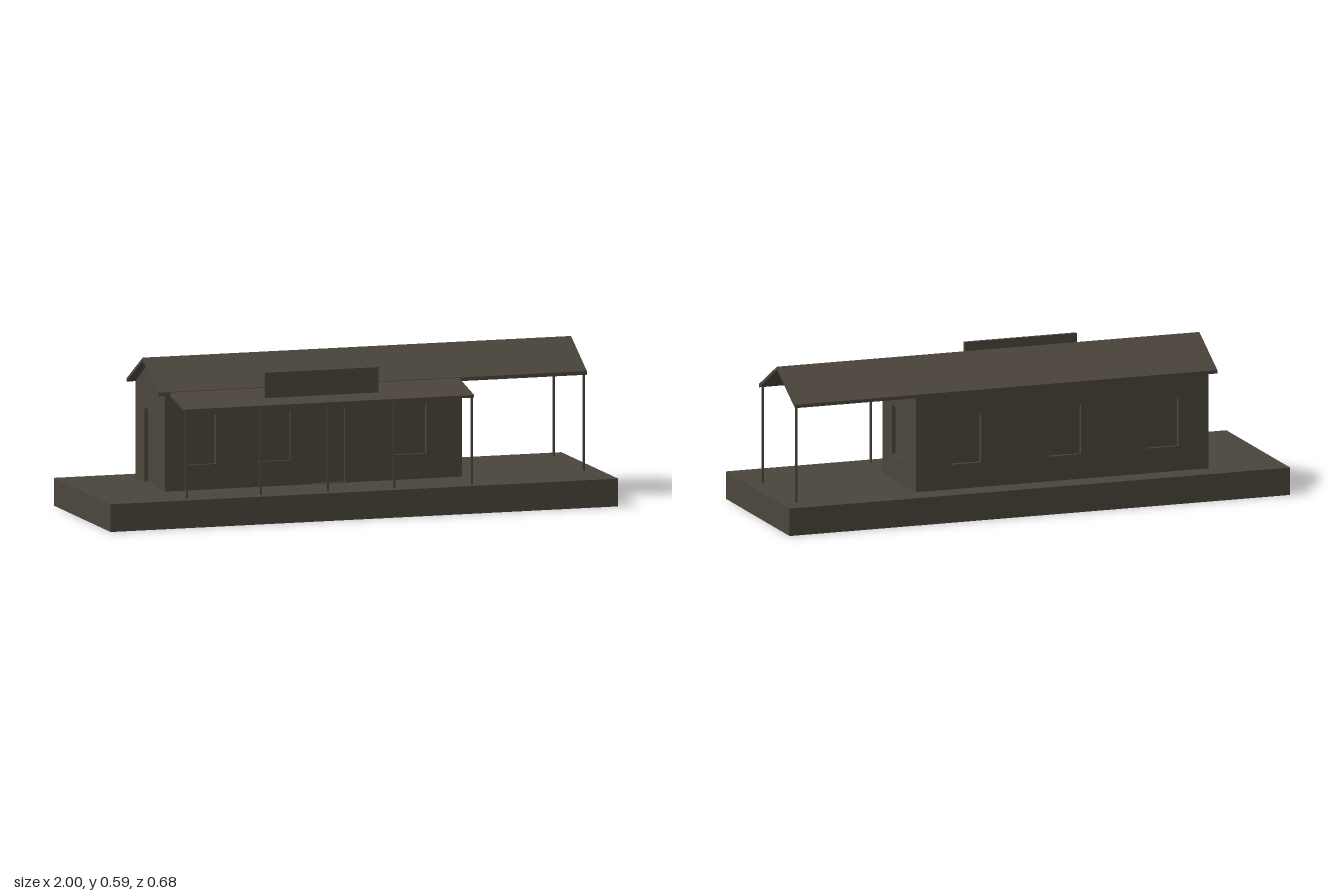
import * as THREE from 'three';

const BASE = 0.105;              // platform height
const CX = -0.125, CZ = -0.067;  // house centre
const HW = 0.585, HD = 0.177;    // house half width and half depth
const EAVE = 0.472, RIDGE = 0.575, T = 0.014;

export function createModel() {
  const model = new THREE.Group();
  const timber = new THREE.MeshStandardMaterial({ color: 0x4b453c });
  timber.name = 'darkTimber';

  const add = (name, geometry) => {
    const mesh = new THREE.Mesh(geometry, timber);
    mesh.name = name;
    model.add(mesh);
    return mesh;
  };

  // Box given by its limits on each axis
  const box = (name, x0, x1, y0, y1, z0, z1) =>
    add(name, new THREE.BoxGeometry(x1 - x0, y1 - y0, z1 - z0))
      .position.set((x0 + x1) / 2, (y0 + y1) / 2, (z0 + z1) / 2);

  // Profile of [z, y] points swept along x
  const sweepX = (name, points, x0, x1) => {
    const shape = new THREE.Shape(points.map(([z, y]) => new THREE.Vector2(-z, y)));
    const geometry = new THREE.ExtrudeGeometry(shape, { depth: x1 - x0, bevelEnabled: false });
    geometry.rotateY(Math.PI / 2).translate(x0, 0, 0);
    return add(name, geometry);
  };

  // Wall skin with openings [x0, x1, y0, y1]; the inner core closes them as recessed panes
  const wall = (name, outline, openings, turn, distance) => {
    const shape = new THREE.Shape(outline.map(([x, y]) => new THREE.Vector2(x, y)));
    for (const [x0, x1, y0, y1] of openings) {
      shape.holes.push(new THREE.Path([
        new THREE.Vector2(x0, y0), new THREE.Vector2(x0, y1),
        new THREE.Vector2(x1, y1), new THREE.Vector2(x1, y0),
      ]));
    }
    const geometry = new THREE.ExtrudeGeometry(shape, { depth: T, bevelEnabled: false });
    geometry.translate(0, 0, distance - T).rotateY(turn).translate(CX, 0, CZ);
    add(name, geometry);
  };

  box('platform', -1, 1, 0, BASE, -0.34, 0.34);

  // House core
  const d = HD - T;
  sweepX('houseCore', [
    [CZ - d, BASE], [CZ + d, BASE], [CZ + d, EAVE], [CZ, RIDGE - 0.005], [CZ - d, EAVE],
  ], CX - HW + T, CX + HW - T);

  // Long walls
  const w = HW - T;
  const longWall = [[-w, BASE], [w, BASE], [w, EAVE], [-w, EAVE]];
  const SILL = 0.2, HEAD = 0.388, STEP = BASE + 0.002;
  wall('frontWall', longWall, [
    [-0.635, -0.51, SILL], [-0.345, -0.215, SILL], [-0.128, 0, STEP], [0.195, 0.32, SILL],
  ].map(([a, b, y]) => [a - CX, b - CX, y, HEAD]), 0, HD);
  wall('backWall', longWall, [[0.2, 0.322], [-0.2, -0.073], [-0.59, -0.465]]
    .map(([a, b]) => [CX - b, CX - a, SILL, HEAD]), Math.PI, HD);

  // Gable walls
  const gable = [[-HD, BASE], [HD, BASE], [HD, EAVE], [0, RIDGE], [-HD, EAVE]];
  wall('leftGableWall', gable, [[-0.074, 0.05, SILL, 0.386]], Math.PI / 2, HW);
  wall('rightGableWall', gable, [[-0.07, 0.06, STEP, 0.386]], -Math.PI / 2, HW);

  // Main roof, overhanging the open end
  const zr = -0.066;
  sweepX('mainRoof', [
    [-0.258, 0.469], [-0.258, 0.482], [zr, 0.588], [0.123, 0.483], [0.123, 0.469], [zr, 0.575],
  ], -0.74, 0.948);

  // Porch roof
  sweepX('porchRoof', [
    [0.11, 0.471], [0.12, 0.482], [0.301, 0.443], [0.301, 0.433],
  ], -0.695, 0.445);

  // Porch posts
  for (const x of [-0.686, -0.394, -0.13, 0.132, 0.437]) {
    box('porchPost', x - 0.0035, x + 0.0035, BASE, 0.436, 0.293, 0.3);
  }

  // Posts under the open end of the main roof
  for (const z of [0.107, -0.251]) {
    box('shelterPost', 0.937, 0.944, BASE, 0.476, z - 0.0035, z + 0.0035);
  }

  // Blank board standing on the porch roof
  box('signBoard', -0.355, 0.092, 0.455, 0.555, 0.212, 0.227);

  return model;
}
